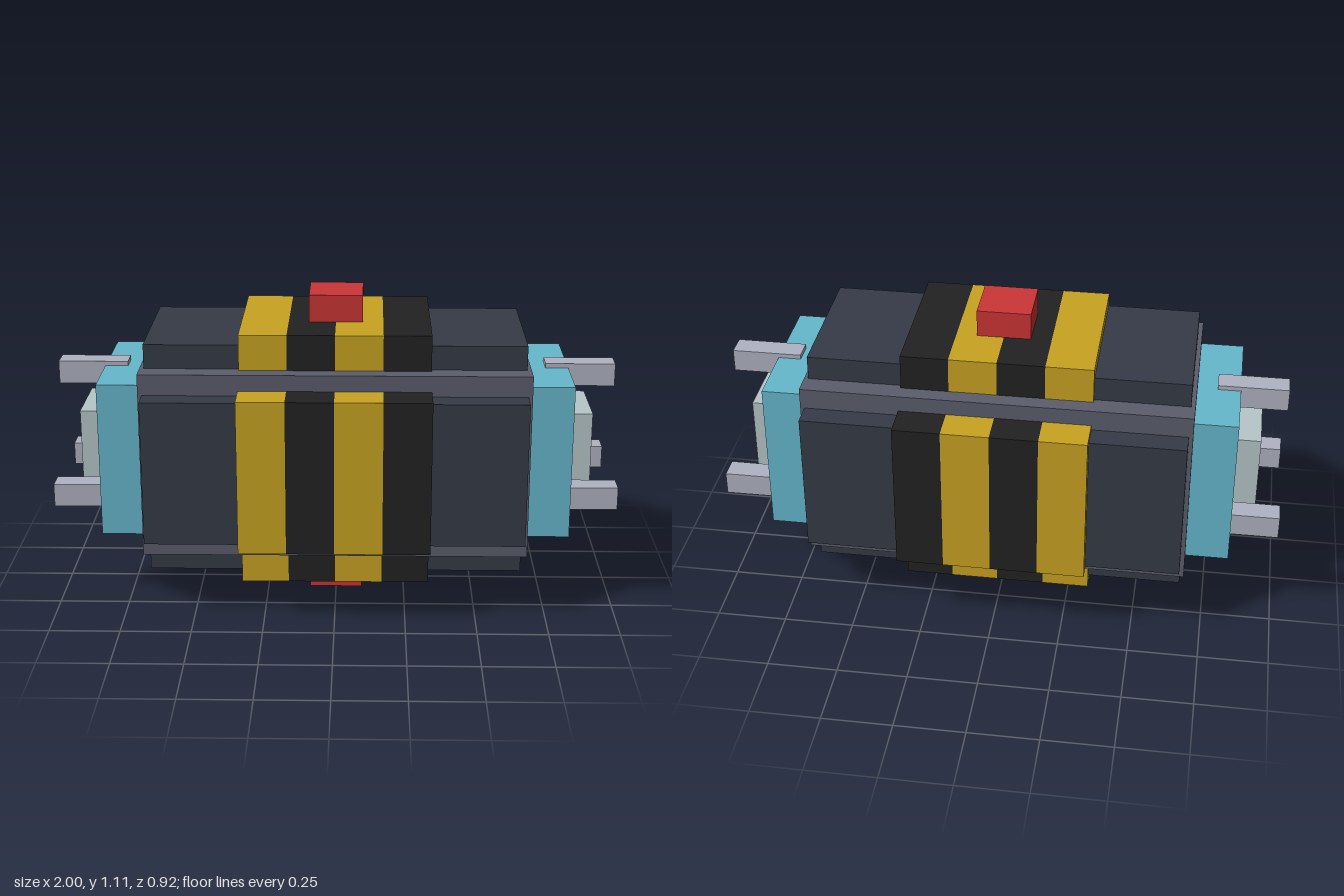
import * as THREE from 'three';

const mat = (name, color) => {
  const m = new THREE.MeshStandardMaterial({ color });
  m.name = name;
  return m;
};

export function createModel() {
  const frameGrey = mat('frame grey', 0x5b5d6c);
  const slate = mat('dark slate', 0x353b47);
  const yellow = mat('hazard yellow', 0xc9a422);
  const black = mat('hazard black', 0x222222);
  const red = mat('red', 0xcc3535);
  const blue = mat('light blue', 0x66b8cd);
  const pale = mat('pale grey', 0xb7c6ca);
  const steel = mat('steel', 0xb0b3c2);

  const model = new THREE.Group();
  model.name = 'container';
  const body = new THREE.Group();
  body.name = 'body';
  body.position.y = 0.556; // mid height of the body
  model.add(body);

  // box from its lower and upper corners, relative to the body centre
  const box = (parent, name, material, [x0, y0, z0], [x1, y1, z1]) => {
    const mesh = new THREE.Mesh(new THREE.BoxGeometry(x1 - x0, y1 - y0, z1 - z0), material);
    mesh.position.set((x0 + x1) / 2, (y0 + y1) / 2, (z0 + z1) / 2);
    mesh.name = name;
    parent.add(mesh);
  };

  box(body, 'frame', frameGrey, [-0.68, -0.333, -0.335], [0.68, 0.333, 0.335]);

  // four long sides: a raised panel wrapped by a striped band
  const stripe = 0.167;
  ['top', 'front', 'bottom', 'back'].forEach((side, i) => {
    const group = new THREE.Group();
    group.name = side + 'Side';
    group.rotation.x = i * Math.PI / 2;
    box(group, 'panel', slate, [-0.665, 0.3, -0.259], [0.665, 0.419, 0.259]);
    for (let s = 0; s < 4; s++) {
      const x = (s - 2) * stripe;
      box(group, 'stripe', s % 2 ? black : yellow, [x, 0.3, -0.276], [x + stripe, 0.459, 0.276]);
    }
    // red knob on the top and bottom only
    if (i % 2 === 0) box(group, 'knob', red, [-0.095, 0.459, -0.096], [0.095, 0.556, 0.096]);
    body.add(group);
  });

  // two ends: cap, socket plate and three prongs
  for (const [name, turn] of [['leftEnd', 0], ['rightEnd', Math.PI]]) {
    const end = new THREE.Group();
    end.name = name;
    end.rotation.y = turn;
    box(end, 'cap', blue, [0.67, -0.278, -0.278], [0.832, 0.278, 0.278]);
    box(end, 'socketPlate', pale, [0.82, -0.137, -0.137], [0.915, 0.137, 0.137]);
    for (const [y, z] of [[0.253, 0], [-0.138, 0.222], [-0.138, -0.222]]) {
      box(end, 'prong', steel, [0.75, y - 0.041, z - 0.041], [1, y + 0.041, z + 0.041]);
    }
    body.add(end);
  }
  return model;
}
